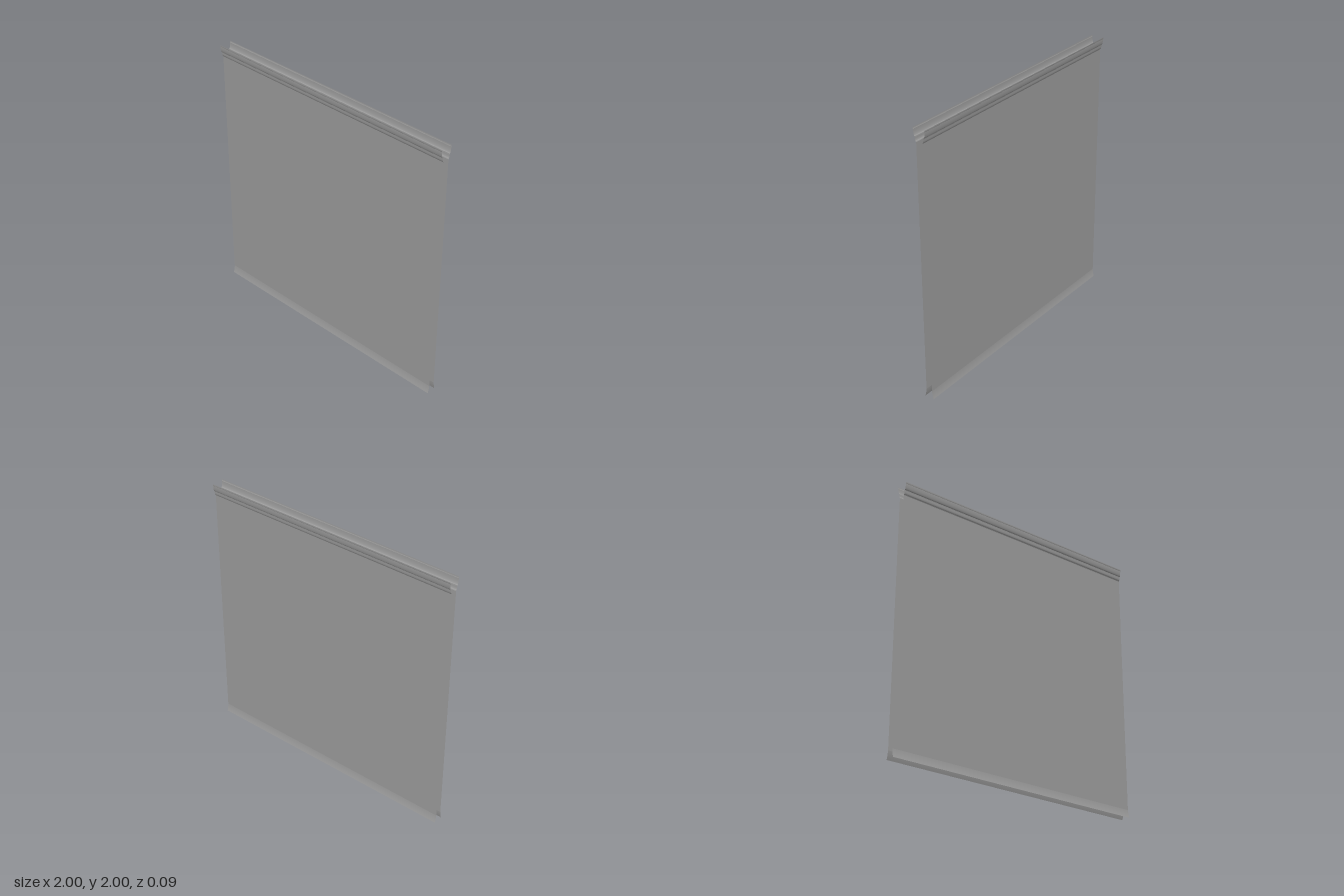
import * as THREE from 'three';
import { mergeGeometries } from 'three/addons/utils/BufferGeometryUtils.js';

const WIDTH = 2;
const material = new THREE.MeshStandardMaterial({ color: 0x9c9c9c, side: THREE.DoubleSide });

// Sheet along x following [z, y] points from top to bottom, smooth within the run
function run(profile) {
  const geo = new THREE.PlaneGeometry(WIDTH, 1, 1, profile.length - 1);
  const pos = geo.attributes.position;
  for (let i = 0; i < pos.count; i++) {
    const [z, y] = profile[Math.floor(i / 2)];
    pos.setXYZ(i, pos.getX(i), y, z);
  }
  geo.computeVertexNormals();
  return geo;
}

// Several runs joined with sharp edges between them
function strip(name, ...profiles) {
  const mesh = new THREE.Mesh(mergeGeometries(profiles.map(run)), material);
  mesh.name = name;
  return mesh;
}

// Quarter-round section: vertical at its top, turning inward underneath
function ovolo(zIn, yLow, zOut, yHigh, steps) {
  return Array.from({ length: steps + 1 }, (_, i) => {
    const a = (i / steps) * Math.PI / 2;
    return [zIn + (zOut - zIn) * Math.cos(a), yHigh - (yHigh - yLow) * Math.sin(a)];
  });
}

// Skirting section flaring outward with a slight hollow
function flare(zTop, zBottom, height, steps) {
  return Array.from({ length: steps + 1 }, (_, i) => {
    const t = i / steps;
    return [zTop + (zBottom - zTop) * (t + t * t) / 2, height * (1 - t)];
  });
}

function wallSide(name) {
  const side = new THREE.Group();
  side.name = name;

  // Flat wall sheet
  side.add(strip('wallPanel', [[0.024, 1.905], [0.024, 0.06]]));

  // Crown moulding: top lip, large round, small round
  side.add(strip('crownMoulding',
    [[0.047, 2], [0.047, 1.992], [0.045, 1.988]],
    ovolo(0.034, 1.942, 0.045, 1.988, 10),
    [[0.034, 1.942], [0.033, 1.934]],
    ovolo(0.026, 1.91, 0.033, 1.934, 8),
    [[0.026, 1.91], [0.024, 1.905]],
  ));

  // Skirting that flares out to the floor
  side.add(strip('baseboard', flare(0.024, 0.036, 0.06, 6)));
  return side;
}

export function createModel() {
  const model = new THREE.Group();
  model.name = 'wallSection';
  const front = wallSide('frontSide');
  const back = wallSide('backSide');
  back.rotation.y = Math.PI;
  model.add(front, back);
  return model;
}
